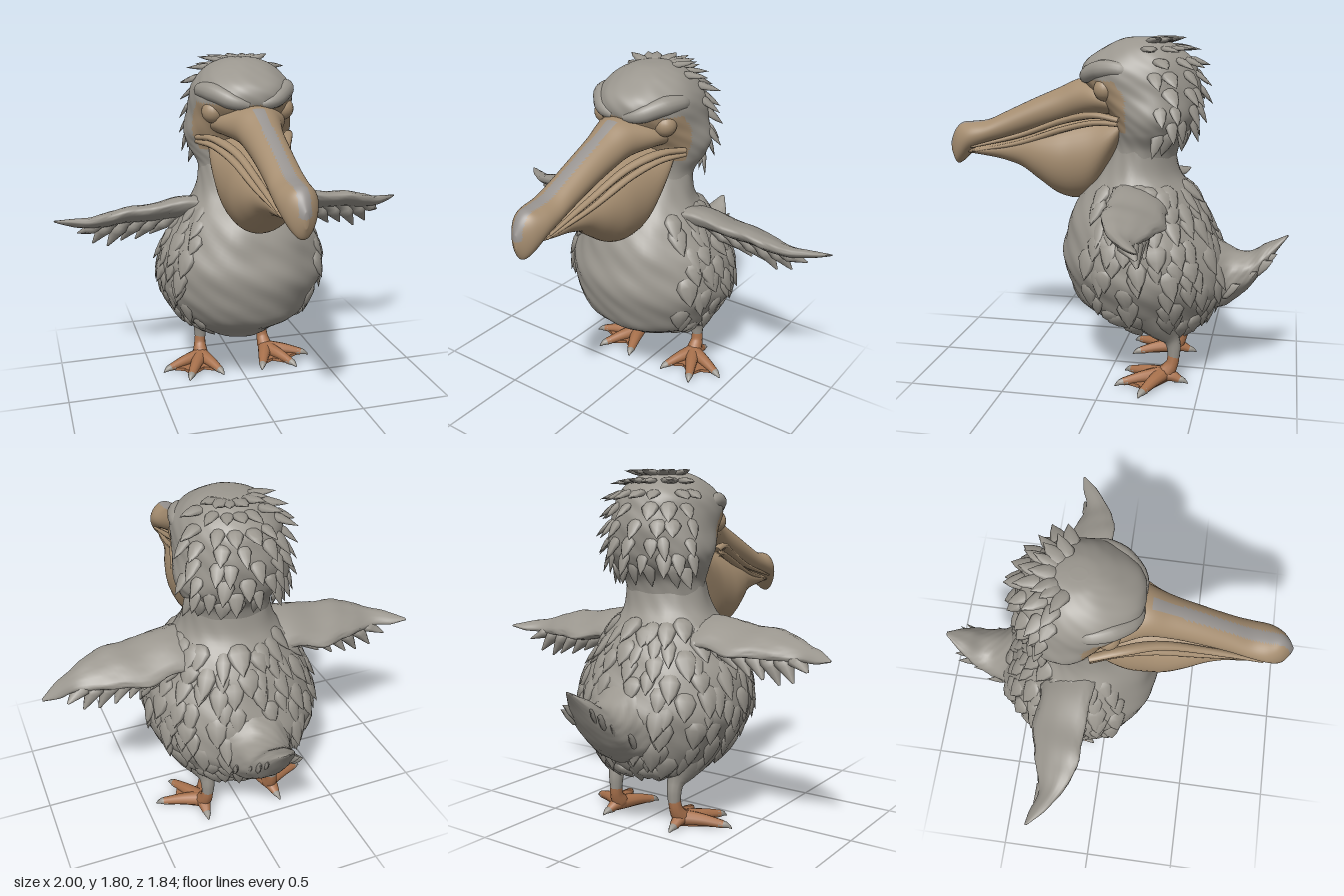
import * as THREE from 'three';
import { mergeVertices, mergeGeometries } from 'three/addons/utils/BufferGeometryUtils.js';

const V = (x, y, z) => new THREE.Vector3(x, y, z);
const material = (name, color) => Object.assign(new THREE.MeshStandardMaterial({ color }), { name });

// small seeded random
let seed = 7;
const rnd = () => (seed = (seed * 16807) % 2147483647) / 2147483647;

// Cross-section rows are [position on axis, low, high, half-width, offset]
function section(S, u) {
  const f = u * (S.length - 1), i = Math.min(Math.floor(f), S.length - 2), t = f - i;
  const row = k => S[Math.max(0, Math.min(S.length - 1, k))];
  return S[0].map((_, j) => {
    const a = row(i - 1)[j], b = row(i)[j], c = row(i + 1)[j], d = row(i + 2)[j];
    return 0.5 * (2 * b + (c - a) * t + (2 * a - 5 * b + 4 * c - d) * t * t + (3 * b - a - 3 * c + d) * t ** 3);
  });
}
const place = { y: (t, d, w) => V(w, t, d), z: (t, d, w) => V(w, d, t), x: (t, d, w) => V(t, w, d) };
function pointAt(S, u, a, axis, { rough = 0, shear = 0 } = {}) {
  const [t, lo, hi, w, c = 0] = section(S, u);
  const k = 1 + rough * (Math.sin(a * 5 + u * 13) * Math.sin(u * 19 - a * 3)
    + 0.6 * Math.sin(a * 11 + u * 23) * Math.sin(u * 37 + a * 4));
  const d = Math.cos(a) * (hi - lo) / 2 * k;
  return place[axis](t, (lo + hi) / 2 + d, c + Math.sin(a) * w * k + shear * d);
}

// Closed skin over cross-sections; paint(centre) may choose a material slot per face
function loft(S, axis, { rows = 40, seg = 40, side = 1, paint, ...shape } = {}) {
  const tris = [], pts = [];
  for (let i = 0; i <= rows; i++)
    for (let j = 0; j < seg; j++) pts.push(pointAt(S, i / rows, j / seg * Math.PI * 2, axis, shape));
  for (const r of [0, rows]) {
    const c = V(0, 0, 0);
    for (let j = 0; j < seg; j++) c.addScaledVector(pts[r * seg + j], 1 / seg);
    pts.push(c);
  }
  const end = (rows + 1) * seg;
  for (let j = 0; j < seg; j++) {
    const k = (j + 1) % seg;
    for (let i = 0; i < rows; i++) {
      const a = i * seg + j, b = i * seg + k;
      tris.push([a, b, a + seg], [b, b + seg, a + seg]);
    }
    tris.push([end, k, j], [end + 1, rows * seg + j, rows * seg + k]);
  }
  pts.forEach(p => { p.x *= side; });
  const mid = pts[end].clone().add(pts[end + 1]).multiplyScalar(0.5);
  let volume = 0;
  for (const t of tris) {
    const [a, b, c] = t.map(n => pts[n].clone().sub(mid));
    volume += a.dot(b.cross(c));
  }
  if (volume < 0) tris.forEach(t => t.reverse());
  const slots = [[], []];
  for (const t of tris) {
    const c = V(0, 0, 0);
    t.forEach(n => c.addScaledVector(pts[n], 1 / 3));
    slots[paint && paint(c) ? 1 : 0].push(...t);
  }
  const g = new THREE.BufferGeometry().setFromPoints(pts);
  g.setIndex([...slots[0], ...slots[1]]);
  g.computeVertexNormals();
  if (paint) {
    g.addGroup(0, slots[0].length, 0);
    g.addGroup(slots[0].length, slots[1].length, 1);
  }
  return g;
}

// Tapered tube along points, with one radius per point
function limb(points, radii, flat = 1, rows = 14, seg = 10) {
  const curve = new THREE.CatmullRomCurve3(points);
  const g = new THREE.TubeGeometry(curve, rows, 1, seg);
  const p = g.attributes.position, v = V(0, 0, 0);
  for (let i = 0; i < p.count; i++) {
    const u = Math.floor(i / (seg + 1)) / rows, c = curve.getPointAt(u);
    const f = u * (radii.length - 1), k = Math.min(Math.floor(f), radii.length - 2);
    const r = THREE.MathUtils.lerp(radii[k], radii[k + 1], f - k);
    v.fromBufferAttribute(p, i).sub(c).multiplyScalar(r);
    p.setXYZ(i, c.x + v.x, c.y + v.y * flat, c.z + v.z);
  }
  g.deleteAttribute('uv');
  g.deleteAttribute('normal');
  const m = mergeVertices(g, 1e-5);
  m.computeVertexNormals();
  return m;
}

// Flattened spindle-shaped feather lying along a surface
const spindle = [[0, 0], [0.7, 0.14], [1, 0.36], [0.65, 0.68], [0, 1]];
function tuft(base, dir, normal, width, length) {
  const g = new THREE.LatheGeometry(spindle.map(([r, t]) => new THREE.Vector2(r * width, (t - 0.3) * length)), 8);
  const y = dir.clone().normalize(), x = y.clone().cross(normal).normalize(), z = x.clone().cross(y);
  return g.applyMatrix4(new THREE.Matrix4().makeBasis(x, y, z.multiplyScalar(0.4)).setPosition(base));
}

export function createModel() {
  seed = 7;
  const model = new THREE.Group();
  model.name = 'pelican';
  const grey = material('plumage grey', 0x9a968e);
  const tan = material('beak tan', 0xa58d70);
  const orange = material('foot orange', 0xa8714c);
  const ridge = material('beak ridge grey', 0x979390);
  const add = (name, geometry, mat) => {
    const m = new THREE.Mesh(geometry, mat);
    m.name = name;
    model.add(m);
  };

  // Body and neck
  const body = [
    [0.235, -0.24, -0.16, 0.04], [0.25, -0.36, -0.04, 0.15], [0.31, -0.5, 0.04, 0.27], [0.4, -0.56, 0.18, 0.36],
    [0.5, -0.6, 0.235, 0.42], [0.6, -0.61, 0.265, 0.455], [0.7, -0.58, 0.27, 0.455], [0.8, -0.54, 0.25, 0.43],
    [0.9, -0.49, 0.22, 0.375], [1.0, -0.43, 0.17, 0.31], [1.1, -0.35, 0.08, 0.25], [1.22, -0.32, 0.01, 0.225],
    [1.3, -0.32, -0.02, 0.22],
  ];
  add('body', loft(body, 'y', { rows: 60, seg: 64, rough: 0.018 }), grey);

  // Head with bare face skin
  const head = [
    [1.15, -0.32, 0.02, 0.22], [1.25, -0.34, 0, 0.23], [1.33, -0.4, 0, 0.27], [1.4, -0.43, 0.02, 0.295],
    [1.5, -0.45, 0.1, 0.28], [1.6, -0.44, 0.17, 0.27], [1.68, -0.41, 0.15, 0.245], [1.75, -0.33, 0.05, 0.18],
    [1.79, -0.25, -0.04, 0.1], [1.8, -0.18, -0.1, 0.03],
  ];
  add('head', loft(head, 'y', {
    rows: 80, seg: 90, rough: 0.012,
    paint: c => c.z > -0.1 + Math.max(0, c.y - 1.5) * 0.6 && c.y > 1.33 && c.y < 1.59,
  }), [grey, tan]);

  // Tail with side plumes
  add('tail', loft([
    [-0.4, 0.34, 0.88, 0.28], [-0.52, 0.36, 0.78, 0.22], [-0.62, 0.4, 0.71, 0.155], [-0.72, 0.49, 0.685, 0.125],
    [-0.8, 0.6, 0.73, 0.095], [-0.87, 0.71, 0.765, 0.05], [-0.92, 0.78, 0.79, 0.01],
  ], 'z', { rough: 0.03 }), grey);
  const plumes = [];
  for (const s of [1, -1])
    for (const [x, y, z] of [[0.08, 0.62, -0.76], [0.09, 0.56, -0.68], [0.13, 0.5, -0.6], [0.05, 0.65, -0.78]])
      plumes.push(tuft(V(s * x, y, z), V(s * 0.25, 0.45, -0.7), V(s, 0.4, 0), 0.04, 0.16));
  add('tailPlumes', mergeGeometries(plumes), grey);

  // Upper beak with hooked tip and ridge stripe
  add('upperBeak', loft([
    [-0.08, 1.4, 1.5, 0.2], [0.05, 1.4, 1.57, 0.19], [0.18, 1.38, 1.585, 0.13], [0.3, 1.345, 1.535, 0.105],
    [0.45, 1.3, 1.47, 0.095], [0.6, 1.25, 1.4, 0.092], [0.7, 1.22, 1.355, 0.097], [0.79, 1.18, 1.342, 0.098],
    [0.85, 1.125, 1.335, 0.08], [0.89, 1.11, 1.3, 0.05], [0.92, 1.17, 1.24, 0.01],
  ], 'z', { rows: 60, seg: 48, paint: c => Math.abs(c.x) < 0.03 && c.z > 0.2 && c.y > 1.56 - 0.38 * c.z }), [tan, ridge]);

  // Throat pouch
  add('pouch', loft([
    [-0.08, 1.32, 1.42, 0.19], [0, 1.15, 1.42, 0.2], [0.1, 0.985, 1.41, 0.195], [0.2, 0.945, 1.39, 0.185],
    [0.3, 0.965, 1.36, 0.175], [0.4, 1.03, 1.33, 0.15], [0.5, 1.1, 1.295, 0.115], [0.6, 1.135, 1.26, 0.09],
    [0.7, 1.155, 1.23, 0.08], [0.82, 1.17, 1.2, 0.05],
  ], 'z', { rows: 48 }), tan);

  const wing = [
    [0.16, -0.34, -0.04, 0.08, 0.97], [0.32, -0.32, -0.05, 0.06, 1.0], [0.48, -0.34, -0.06, 0.05, 0.975],
    [0.62, -0.31, -0.065, 0.045, 0.975], [0.72, -0.28, -0.08, 0.04, 0.96], [0.82, -0.25, -0.13, 0.03, 0.945],
    [0.92, -0.28, -0.2, 0.02, 0.94], [1.0, -0.295, -0.28, 0.004, 0.94],
  ];
  for (const s of [1, -1]) {
    const side = s > 0 ? 'left' : 'right';
    const path = rows => rows.map(([x, y, z]) => V(s * x, y, z));

    // Lips, brow and closed eye
    add(side + 'UpperLip', limb(path([[0.25, 1.4, -0.07], [0.2, 1.415, 0.07], [0.13, 1.375, 0.25], [0.09, 1.285, 0.5],
      [0.08, 1.21, 0.78]]), [0.02, 0.028, 0.022, 0.018, 0.008], 0.7, 24), tan);
    add(side + 'LowerLip', limb(path([[0.25, 1.38, -0.07], [0.195, 1.375, 0.07], [0.14, 1.33, 0.25], [0.095, 1.245, 0.5],
      [0.06, 1.185, 0.78]]), [0.02, 0.022, 0.022, 0.016, 0.008], 0.7, 24), tan);
    add(side + 'Brow', limb(path([[0.03, 1.59, 0.145], [0.1, 1.605, 0.13], [0.18, 1.64, 0.045], [0.225, 1.645, -0.06],
      [0.22, 1.61, -0.17]]), [0.025, 0.045, 0.05, 0.04, 0.01], 1, 24, 14), grey);
    add(side + 'Eye', new THREE.SphereGeometry(0.06, 20, 14).translate(s * 0.185, 1.545, 0.015), tan);

    // Wing and its hanging flight feathers
    add(side + 'Wing', loft(wing, 'x', { side: s, seg: 28, shear: 0.35, rough: 0.05 }), grey);
    const feathers = [];
    for (let i = 0; i < 6; i++) {
      const x = 0.35 + i * 0.078, drop = [0.84, 0.815, 0.81, 0.79, 0.81, 0.87][i];
      feathers.push(limb(path([[x, 0.96, -0.18], [x + 0.06, 0.91, -0.22], [x + 0.14, drop, -0.25 - 0.01 * (i % 3)]]),
        [0.03, 0.052, 0.006], 0.55, 10, 8));
    }
    add(side + 'WingFeathers', mergeGeometries(feathers), grey);

    // Thigh, shank and foot
    add(side + 'Thigh', limb(path([[0.2, 0.42, -0.25], [0.195, 0.3, -0.31], [0.19, 0.22, -0.35], [0.19, 0.14, -0.355]]),
      [0.17, 0.115, 0.042, 0.032]), grey);
    add(side + 'Shank', limb(path([[0.19, 0.16, -0.355], [0.195, 0.1, -0.345], [0.2, 0.05, -0.31], [0.21, 0.02, -0.27]]),
      [0.031, 0.034, 0.045, 0.02]), orange);
    const toes = [], claws = [];
    for (const [x, z] of [[0.4, -0.22], [0.3, -0.1], [0.13, -0.12], [0.21, -0.39]]) {
      const mx = (x + 0.2) / 2, mz = (z - 0.3) / 2;
      toes.push(limb(path([[0.2, 0.045, -0.3], [mx, 0.04, mz], [x, 0.024, z]]), [0.045, 0.034, 0.022], 0.9));
      const dx = x - 0.2, dz = z + 0.3, k = 0.045 / Math.hypot(dx, dz);
      claws.push(limb(path([[x - dx * k * 0.5, 0.026, z - dz * k * 0.5], [x + dx * k * 0.4, 0.021, z + dz * k * 0.4],
        [x + dx * k, 0.006, z + dz * k]]), [0.025, 0.019, 0.003], 0.9, 6, 8));
    }
    add(side + 'Toes', mergeGeometries(toes), orange);
    add(side + 'Claws', mergeGeometries(claws), grey);
    const web = new THREE.Shape([[0.2, 0.33], [0.38, 0.22], [0.32, 0.19], [0.29, 0.12], [0.21, 0.18], [0.14, 0.14]]
      .map(([x, z]) => new THREE.Vector2(s * x, z)));
    add(side + 'Web', new THREE.ExtrudeGeometry(web, { depth: 0.018, bevelEnabled: false })
      .rotateX(-Math.PI / 2).translate(0, 0.005, 0), orange);
  }

  // Ruffled feathers following the slope of the flanks and back
  const ruffles = [];
  for (let i = 0; i < 10; i++)
    for (let j = 0; j < 16; j++) {
      const u = 0.16 + i * 0.066 + rnd() * 0.04, a = 0.9 + (j + rnd()) * 0.28;
      const p = pointAt(body, u, a, 'y'), n = V(Math.sin(a), 0, Math.cos(a));
      const down = pointAt(body, u - 0.02, a, 'y').sub(p).normalize();
      ruffles.push(tuft(p.addScaledVector(n, -0.008), down.addScaledVector(n, 0.12 + rnd() * 0.12), n,
        0.04 + rnd() * 0.025, 0.13 + rnd() * 0.06));
    }
  add('bodyFeathers', mergeGeometries(ruffles), grey);

  // Swept-back crest from the crown down to the nape
  const crest = [];
  for (let i = 0; i < 8; i++)
    for (let j = -3; j <= 3; j++) {
      const u = 0.2 + i * 0.095, a = Math.PI + (j + (i % 2) * 0.5 - 0.25) * 0.38 + (rnd() - 0.5) * 0.2;
      const p = pointAt(head, u, a, 'y'), n = V(Math.sin(a), Math.max(0, p.y - 1.6) * 4, Math.cos(a)).normalize();
      const down = pointAt(head, u - 0.02, a, 'y').sub(p).normalize();
      const dir = down.addScaledVector(n, 0.35 + 0.5 * rnd() + Math.max(0, p.y - 1.5) * 2);
      crest.push(tuft(p, dir, n, 0.032 + rnd() * 0.014, 0.12 + rnd() * 0.04));
    }
  add('crest', mergeGeometries(crest), grey);

  return model;
}
